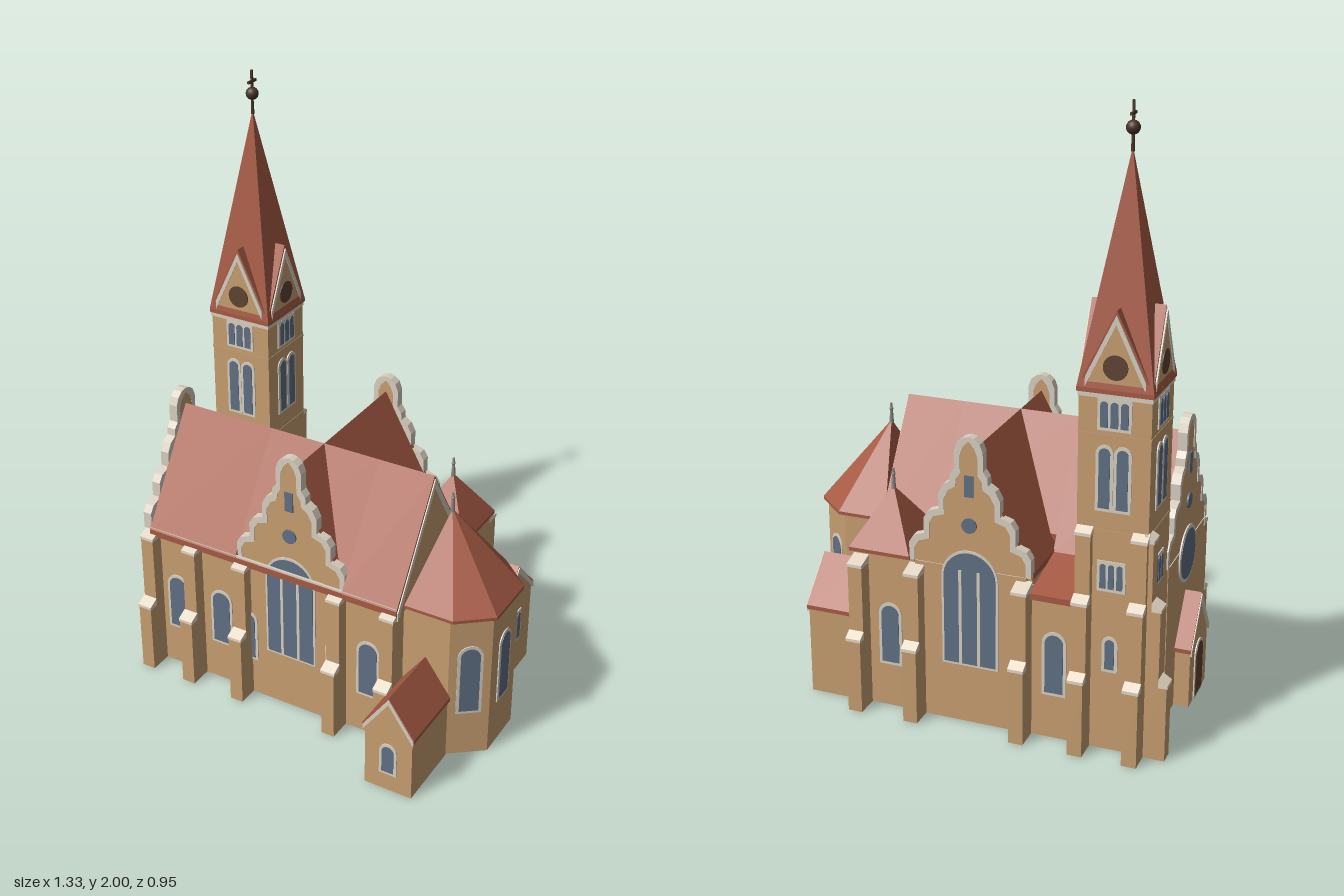
import * as THREE from 'three';

const mat = (name, color, side = THREE.FrontSide) => {
  const m = new THREE.MeshStandardMaterial({ color, side });
  m.name = name;
  return m;
};

export function createModel() {
  const sand = mat('sandstone', 0xc69e70, THREE.DoubleSide), red = mat('roof tile', 0xa65a44);
  const stone = mat('pale stone', 0xd8cfc0), capStone = mat('cap stone', 0xe4d7c4);
  const glass = mat('window glass', 0x5f7084), brown = mat('dark wood', 0x5e4433);
  const bronze = mat('bronze', 0x4a3526), lead = mat('lead', 0x8f8c84);
  const root = new THREE.Group();
  root.name = 'church';
  const PI = Math.PI, E = PI / 2, W = -PI / 2;

  const add = (parent, name, geo, m, x = 0, y = 0, z = 0, ry = 0) => {
    const mesh = new THREE.Mesh(geo, m);
    mesh.name = name;
    mesh.position.set(x, y, z);
    mesh.rotation.y = ry;
    parent.add(mesh);
    return mesh;
  };
  const group = (name, x, y, z, ry = 0) => {
    const g = new THREE.Group();
    g.name = name;
    g.position.set(x, y, z);
    g.rotation.y = ry;
    root.add(g);
    return g;
  };
  const poly = pts => new THREE.Shape(pts.map(p => new THREE.Vector2(p[0], p[1])));
  // outline extruded along z from z0 to z1
  const slab = (shape, z0, z1) => new THREE.ExtrudeGeometry(Array.isArray(shape) ? poly(shape) : shape,
    { depth: z1 - z0, bevelEnabled: false, curveSegments: 14 }).translate(0, 0, z0);
  // plan outline of [x, z] points raised from y0 to y1
  const prism = (pts, y0, y1) => slab(pts.map(p => [p[0], -p[1]]), y0, y1).rotateX(-E);
  const rect = (x0, x1, z0, z1) => [[x0, z0], [x1, z0], [x1, z1], [x0, z1]];
  const box = (name, x0, x1, y0, y1, z0, z1, m) => add(root, name, prism(rect(x0, x1, z0, z1), y0, y1), m);
  // masonry shell: the faces lying on the ground are left out
  const shell = geo => {
    const p = geo.attributes.position.array, keep = [];
    for (let i = 0; i < p.length; i += 9)
      if (Math.max(p[i + 1], p[i + 4], p[i + 7]) > 1e-4) keep.push(...p.slice(i, i + 9));
    const g = new THREE.BufferGeometry();
    g.setAttribute('position', new THREE.Float32BufferAttribute(keep, 3));
    g.computeVertexNormals();
    return g;
  };
  const walls = (name, pts, top) => add(root, name, shell(prism(pts, 0, top)), sand);
  // hipped roof from a plan outline up to one apex
  const hip = (pts, y, apex) => {
    const v = [];
    pts.forEach((a, i) => {
      const b = pts[(i + 1) % pts.length];
      v.push(b[0], y, b[1], a[0], y, a[1], ...apex);
      v.push(a[0], y, a[1], b[0], y, b[1], apex[0], y, apex[2]);
    });
    const g = new THREE.BufferGeometry();
    g.setAttribute('position', new THREE.Float32BufferAttribute(v, 3));
    g.computeVertexNormals();
    return g;
  };
  const gablePts = (hw, base, eave, ridge) => [[-hw, base], [hw, base], [hw, eave], [0, ridge], [-hw, eave]];
  const chevron = (hw, eave, ridge, t) =>
    [[-hw, eave - t], [0, ridge - t], [hw, eave - t], [hw, eave], [0, ridge], [-hw, eave]];

  // ---- windows ----
  const arch = (w, h, x = 0, y = 0) => {
    const s = new THREE.Shape(), r = w / 2;
    s.moveTo(x - r, y);
    s.lineTo(x + r, y);
    s.lineTo(x + r, y + h - r);
    s.absarc(x, y + h - r, r, 0, PI);
    s.closePath();
    return s;
  };
  const lancet = (x, y, z, ry, w, h, pane = glass, name = 'archedWindow') => {
    const g = group(name, x, y, z, ry);
    add(g, 'frame', slab(arch(w, h), -0.003, 0.004), stone);
    add(g, 'pane', slab(arch(w - 0.02, h - 0.02, 0, 0.01), -0.001, 0.006), pane);
  };
  const lights = (x, y, z, ry, w, h, n) => {
    const g = group('groupedWindow', x, y, z, ry), step = (w - 0.01) / n;
    add(g, 'frame', slab([[-w / 2, 0], [w / 2, 0], [w / 2, h], [-w / 2, h]], -0.003, 0.004), stone);
    for (let i = 0; i < n; i++)
      add(g, 'pane', slab(arch(step - 0.008, h - 0.02, (i - (n - 1) / 2) * step, 0.01), -0.001, 0.006), glass);
  };
  const disc = (parent, name, r, y, z, m) =>
    add(parent, name, new THREE.CylinderGeometry(r, r, 0.008, 24).rotateX(E), m, 0, y, z);

  // ---- buttress with stepped, sloping caps; stages are [depth, top] ----
  const buttress = (x, z, ry, stages) => {
    const g = group('buttress', x, 0, z, ry), w = 0.048;
    const pts = [[-0.02, 0], [stages[0][0], 0]];
    stages.forEach(([d, t], i) => {
      const next = i + 1 < stages.length ? stages[i + 1][0] : 0;
      pts.push([d, t], [next, t]);
      add(g, 'cap', slab([[next, t - 0.01], [d + 0.003, t - 0.01], [d + 0.003, t], [next, t + 0.018]],
        -w / 2 - 0.002, w / 2 + 0.002), capStone, 0, 0, 0, W);
    });
    pts.push([-0.02, stages[stages.length - 1][1]]);
    add(g, 'shaft', shell(slab(pts, -w / 2, w / 2)), sand, 0, 0, 0, W);
  };

  // ---- small gabled building facing local +z ----
  const house = (name, x, z, ry, hw, eave, ridge, len) => {
    const g = group(name, x, 0, z, ry);
    add(g, 'walls', shell(slab(gablePts(hw - 0.008, 0, eave - 0.01, ridge - 0.012), -len, 0)), sand);
    add(g, 'roof', slab(chevron(hw, eave, ridge, 0.014), -len, 0.004), red);
    add(g, 'gableTrim', slab(chevron(hw - 0.003, eave - 0.004, ridge - 0.004, 0.02), 0, 0.007), stone);
  };

  // ---- scalloped gable facing local +z ----
  const steps = [[0.2, 0.53], [0.2, 0.6], [0.185, 0.625], [0.15, 0.637], [0.15, 0.69], [0.135, 0.715], [0.1, 0.727],
    [0.1, 0.78], [0.085, 0.81], [0.062, 0.825], [0.06, 0.85], [0.046, 0.87], [0.046, 0.93], [0.036, 0.957], [0.018, 0.972]];
  const outline = (sx, dx, dy, base) => {
    const half = steps.map(([x, y], i) => [Math.max(x * sx - dx, 0.006), i ? y - dy : base]);
    return [...half, [0, 0.977 - dy], ...half.slice().reverse().map(([x, y]) => [-x, y])];
  };
  const scallopGable = (name, x, z, ry, sx) => {
    const g = group(name, x, 0, z, ry);
    add(g, 'gableWall', shell(slab(outline(sx, 0.018, 0.016, 0), -0.027, 0)), sand);
    const rim = poly(outline(sx, 0, 0, 0.54));
    rim.holes.push(poly(outline(sx, 0.018, 0.016, 0.5401).reverse()));
    add(g, 'gableCoping', slab(rim, -0.028, 0.003), stone);
    add(g, 'slitWindow', slab([[-0.015, 0.78], [0.015, 0.78], [0.015, 0.85], [-0.015, 0.85]], -0.002, 0.005), glass);
    disc(g, 'roundWindow', 0.025, 0.685, 0.002, glass);
    return g;
  };

  // ---- nave, transept and side bays ----
  walls('naveWalls', rect(-0.58, 0.375, -0.175, 0.253), 0.535);
  walls('transeptWalls', rect(-0.222, 0.176, -0.38, 0.25), 0.54);
  walls('sideAisleWalls', rect(-0.4, -0.2, -0.395, -0.15), 0.5);
  walls('northBayWalls', rect(0.17, 0.38, -0.395, -0.15), 0.54);
  const slope = 0.375 / 0.24;
  for (const [x0, x1, hw] of [[-0.57, -0.225, 0.24], [-0.225, 0.18, 0.21], [0.18, 0.379, 0.24]]) {
    const eave = 0.92 - hw * slope;
    add(root, 'naveRoof', slab(gablePts(hw, eave - 0.022, eave, 0.92), (x0 - x1) / 2, (x1 - x0) / 2), red,
      (x0 + x1) / 2, 0, 0.041, W);
  }
  box('frontEave', -0.57, 0.379, 0.523, 0.545, 0.255, 0.281, red);
  box('gutter', -0.57, 0.379, 0.545, 0.552, 0.27, 0.278, stone);
  add(root, 'transeptRoof', slab(gablePts(0.205, 0.53, 0.55, 0.92), -0.385, 0.25), red, -0.023, 0, 0);
  add(root, 'aisleRoof', slab([[-0.42, 0.48], [-0.15, 0.53], [-0.15, 0.555], [-0.42, 0.5]], -0.07, 0.07), red, -0.298, 0, 0, W);
  // east gable
  add(root, 'eastGable', slab([[-0.225, 0.52], [0.225, 0.52], [0, 0.885]], 0, 0.007), sand, 0.374, 0, 0.041, E);
  add(root, 'eastGableTrim', slab(chevron(0.235, 0.538, 0.908, 0.032), 0, 0.009), stone, 0.374, 0, 0.041, E);

  // great windows on both transept fronts
  for (const [z, ry] of [[0.261, 0], [-0.4, PI]]) {
    const g = scallopGable('transeptGable', -0.023, z, ry, 1.02);
    add(g, 'greatWindowFrame', slab(arch(0.19, 0.4, 0, 0.2), -0.003, 0.004), stone);
    add(g, 'greatWindowGlass', slab(arch(0.174, 0.384, 0, 0.208), -0.002, 0.006), glass);
    for (const x of [-0.031, 0.031])
      add(g, 'mullion', new THREE.BoxGeometry(0.01, 0.325, 0.008), stone, x, 0.37, 0.004);
  }
  // west front with rose window
  const west = scallopGable('westGable', -0.596, 0.041, W, 1.15);
  disc(west, 'roseFrame', 0.096, 0.5, 0.001, stone);
  disc(west, 'roseGlass', 0.085, 0.5, 0.003, glass);

  // ---- aisle windows ----
  for (const x of [-0.483, -0.304, 0.266]) lancet(x, 0.15, 0.253, 0, 0.086, 0.22);
  for (const x of [-0.185, 0.14]) lancet(x, 0.14, 0.261, 0, 0.06, 0.19);
  for (const x of [-0.302, 0.256]) lancet(x, 0.15, -0.395, PI, 0.08, 0.22);

  // ---- buttresses ----
  const low = [[0.081, 0.26], [0.055, 0.51]], tall = [...low, [0.027, 0.73]];
  for (const x of [-0.572, -0.402, -0.203, 0.158, 0.353]) buttress(x, 0.253, 0, [[0.08, 0.26], [0.046, 0.52]]);
  for (const x of [-0.203, 0.158, 0.353]) buttress(x, -0.393, PI, low);
  for (const x of [-0.573, -0.397]) buttress(x, -0.393, PI, tall);
  buttress(-0.585, -0.379, W, tall);

  // ---- porches and annex ----
  house('southPorch', 0.459, 0.467, 0, 0.092, 0.24, 0.368, 0.24);
  lancet(0.459, 0.065, 0.467, 0, 0.062, 0.12);
  house('westPorch', -0.647, 0.045, W, 0.111, 0.21, 0.368, 0.06);
  lancet(-0.647, 0, 0.045, W, 0.1, 0.2, brown, 'westDoor');
  house('northAnnex', 0.547, -0.275, E, 0.133, 0.315, 0.45, 0.165);
  lights(0.547, 0.13, -0.265, E, 0.11, 0.125, 3);

  // ---- apse ----
  const apse = [[0.37, -0.14], [0.54, -0.14], [0.65, -0.047], [0.65, 0.137], [0.54, 0.222], [0.37, 0.222]];
  const eaves = [[0.383, -0.157], [0.554, -0.157], [0.664, -0.055], [0.664, 0.146], [0.554, 0.235], [0.383, 0.235]];
  walls('apseWalls', apse, 0.54);
  add(root, 'apseEaves', prism(eaves, 0.534, 0.545), red);
  add(root, 'apseRoof', hip(eaves, 0.545, [0.445, 0.82, 0.041]), red);
  for (let i = 1; i < 4; i++) {
    const [a, b] = [apse[i], apse[i + 1]];
    lancet((a[0] + b[0]) / 2, 0.165, (a[1] + b[1]) / 2, Math.atan2(b[1] - a[1], a[0] - b[0]), 0.084, 0.265);
  }
  const square = (cx, cz, h) => rect(cx - h, cx + h, cz - h, cz + h);
  const bay = rect(0.18, 0.39, -0.41, -0.165);
  add(root, 'northBayEaves', prism(bay, 0.538, 0.55), red);
  add(root, 'northBayRoof', hip(bay, 0.55, [0.285, 0.73, -0.288]), red);
  for (const [x, y, z] of [[0.445, 0.81, 0.041], [0.285, 0.72, -0.288]]) {
    add(root, 'finial', new THREE.CylinderGeometry(0.004, 0.008, 0.07, 8), lead, x, y + 0.035, z);
    add(root, 'finialKnob', new THREE.SphereGeometry(0.007, 10, 8), lead, x, y + 0.05, z);
  }

  // ---- tower ----
  const tx = -0.482, tz = -0.285, th = 0.112;
  walls('towerWalls', square(tx, tz, th), 1.165);
  add(root, 'towerCornice', prism(square(tx, tz, 0.115), 1.154, 1.168), stone);
  for (const y of [0.73, 1.035]) add(root, 'towerLedge', prism(square(tx, tz, 0.1135), y, y + 0.008), sand);
  add(root, 'spireEaves', prism(square(tx, tz, 0.118), 1.168, 1.182), red);
  add(root, 'spire', hip(square(tx, tz, 0.118), 1.18, [tx, 1.87, tz]), red);
  for (let i = 0; i < 4; i++) {
    const ry = i * E, fx = tx + Math.sin(ry) * th, fz = tz + Math.cos(ry) * th;
    const g = group('spireGable', tx, 0, tz, ry);
    add(g, 'gableRoof', slab([[-0.117, 1.18], [0.117, 1.18], [0, 1.42]], 0, 0.113), red);
    add(g, 'gableFace', slab([[-0.086, 1.2], [0.086, 1.2], [0, 1.385]], 0.111, 0.115), sand);
    add(g, 'gableTrim', slab(chevron(0.092, 1.215, 1.408, 0.03), 0.111, 0.118), stone);
    disc(g, 'roundLouvre', 0.038, 1.25, 0.114, brown);
    lights(fx, 1.055, fz, ry, 0.105, 0.1, 3);
    for (const s of [-0.028, 0.028])
      lancet(fx + s * Math.cos(ry), 0.8, fz - s * Math.sin(ry), ry, 0.055, 0.21);
    if (i > 1) {
      lights(fx, 0.54, fz, ry, 0.09, 0.1, 3);
      lancet(fx, 0.27, fz, ry, 0.05, 0.12);
    }
  }
  // ball and cross
  add(root, 'spireStem', new THREE.CylinderGeometry(0.004, 0.006, 0.06, 8), bronze, tx, 1.885, tz);
  add(root, 'spireBall', new THREE.SphereGeometry(0.021, 16, 12), bronze, tx, 1.923, tz);
  add(root, 'crossPost', new THREE.BoxGeometry(0.007, 0.07, 0.007), bronze, tx, 1.965, tz);
  add(root, 'crossArm', new THREE.BoxGeometry(0.007, 0.008, 0.045), bronze, tx, 1.963, tz);
  return root;
}
